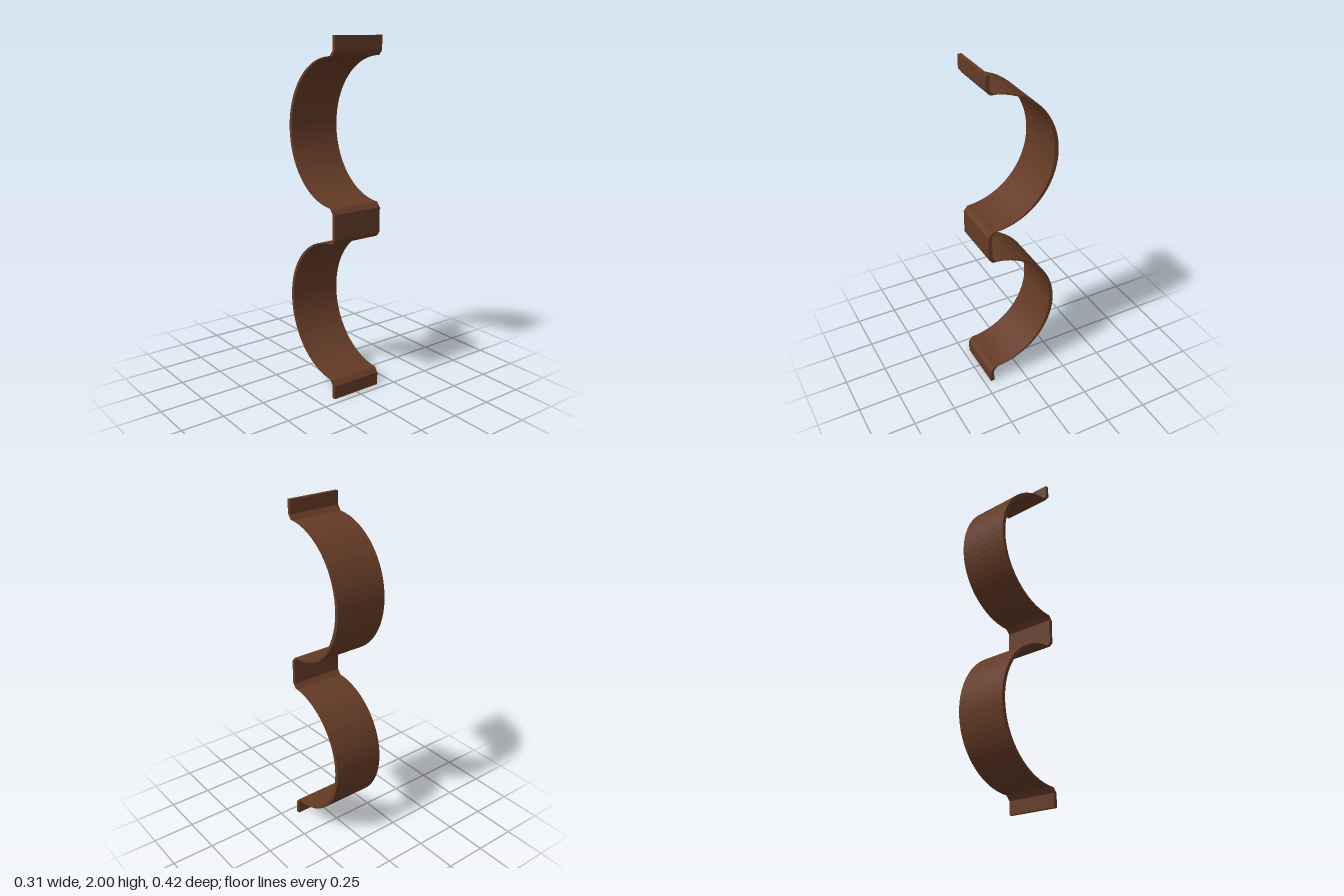
import * as THREE from 'three';

const WIDTH = 0.312;
const THICK = 0.022; // strip thickness, measured along z
const TAB_Z = 0.188; // back face of the flat tabs

export function createModel() {
  const group = new THREE.Group();
  group.name = 'doublePipeStrap';
  const brown = new THREE.MeshStandardMaterial({ color: 0x643a26 });
  brown.name = 'brown';

  // Sweeps a (z, y) line, thickened towards the front, across the strap's width
  function addStrip(name, line) {
    const back = line.map(([z, y]) => new THREE.Vector2(z, y));
    const front = line.map(([z, y]) => new THREE.Vector2(z + THICK, y)).reverse();
    const geometry = new THREE.ExtrudeGeometry(new THREE.Shape([...back, ...front]), {
      depth: WIDTH, bevelEnabled: false,
    });
    geometry.translate(0, 0, -WIDTH / 2).rotateY(-Math.PI / 2);
    const mesh = new THREE.Mesh(geometry, brown);
    mesh.name = name;
    group.add(mesh);
  }

  // Half-round saddle with a small slanted lip at each end
  function addSaddle(name, centerY) {
    const line = [[TAB_Z, centerY + 0.427]];
    const steps = 32;
    for (let i = 0; i <= steps; i++) {
      const a = 0.03 + (Math.PI - 0.06) * i / steps;
      line.push([0.177 - 0.387 * Math.sin(a), centerY + 0.399 * Math.cos(a)]);
    }
    line.push([TAB_Z, centerY - 0.427]);
    addStrip(name, line);
  }

  // Flat mounting tabs
  const addTab = (name, top, bottom) => addStrip(name, [[TAB_Z, top], [TAB_Z, bottom]]);

  addTab('topTab', 2, 1.924);
  addSaddle('upperSaddle', 1.497);
  addTab('middleTab', 1.07, 0.93);
  addSaddle('lowerSaddle', 0.503);
  addTab('bottomTab', 0.076, 0);
  return group;
}
